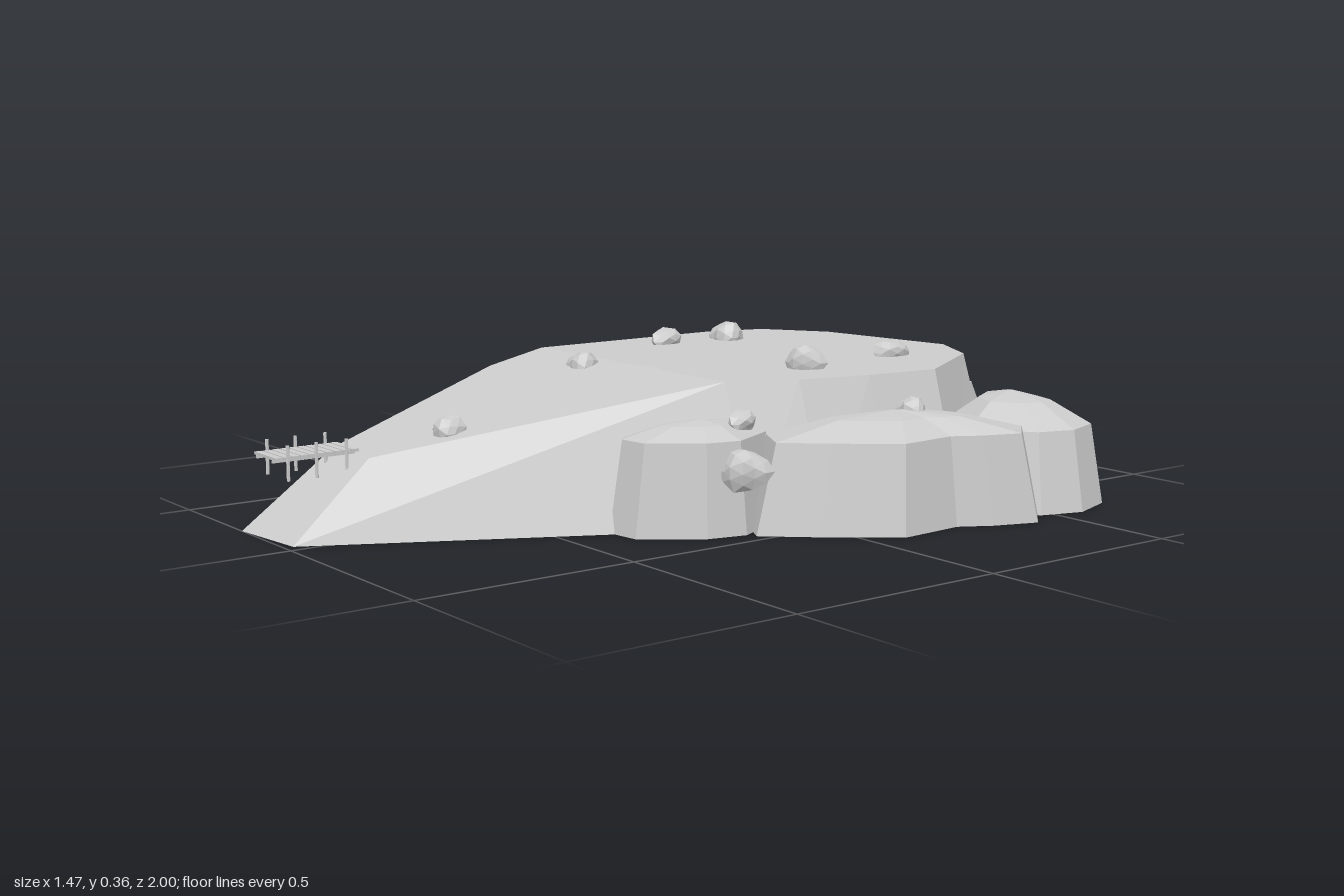
import * as THREE from 'three';

const stone = new THREE.MeshStandardMaterial({ color: 0xcccccc, flatShading: true });
stone.name = 'grey stone';

// Height of the plateau: level at the back, sloping down to the front
const ground = z => (z <= 0.12 ? 0.305 : 0.305 - (z - 0.12) * 0.206);

// Solid skin through rings of [x, y, z] points listed anticlockwise from above
function loft(rings, top) {
  const pos = [];
  const tri = (a, b, c) => pos.push(...a, ...b, ...c);
  const n = rings[0].length;
  for (let r = 0; r < rings.length - 1; r++) {
    for (let i = 0; i < n; i++) {
      const j = (i + 1) % n, lo = rings[r], hi = rings[r + 1];
      tri(lo[i], lo[j], hi[j]);
      tri(lo[i], hi[j], hi[i]);
    }
  }
  const cap = (ring, up) => {
    const flat = ring.map(p => new THREE.Vector2(p[0], -p[2]));
    for (const [a, b, c] of THREE.ShapeUtils.triangulateShape(flat, [])) {
      if (up) tri(ring[a], ring[b], ring[c]);
      else tri(ring[a], ring[c], ring[b]);
    }
  };
  cap(rings[0], false);
  top.forEach(ring => cap(ring, true));
  const g = new THREE.BufferGeometry();
  g.setAttribute('position', new THREE.Float32BufferAttribute(pos, 3));
  g.computeVertexNormals();
  return g;
}

function add(parent, name, geometry, x = 0, y = 0, z = 0) {
  const m = new THREE.Mesh(geometry, stone);
  m.name = name;
  m.position.set(x, y, z);
  parent.add(m);
  return m;
}

// Cliff boulder: steep skirt, rounded shoulder and a low peak
function boulder(parent, name, outline, h, inset, peak) {
  const flat = outline.map(p => new THREE.Vector2(p[0], -p[1]));
  const pts = THREE.ShapeUtils.area(flat) < 0 ? [...outline].reverse() : outline;
  const ring = (s, y) => pts.map(([x, z]) =>
    [peak[0] + (x - peak[0]) * s, y, peak[2] + (z - peak[2]) * s]);
  const shoulder = ring(inset * 0.5, h + (peak[1] - h) * 0.75);
  add(parent, name, loft([ring(1, 0), ring(inset, h), shoulder, ring(0.02, peak[1])], []));
}

// Small weathered rock
function pebble(parent, x, y, z, r, turn) {
  const g = new THREE.IcosahedronGeometry(r, 1);
  const p = g.attributes.position;
  for (let i = 0; i < p.count; i++) {
    const a = p.getX(i) / r, b = p.getY(i) / r, c = p.getZ(i) / r;
    const k = 1 + 0.13 * Math.sin(a * 4 + turn * 3) + 0.1 * Math.sin(c * 5 + b * 3 + turn);
    p.setXYZ(i, a * r * k, b * r * k * 0.75, c * r * k * 0.75);
  }
  g.computeVertexNormals();
  add(parent, 'smallRock', g, x, y, z).rotation.y = turn;
}

export function createModel() {
  const model = new THREE.Group();
  model.name = 'rockyIsland';

  // Main plateau: rim and matching foot outline, [x, z]
  const rim = [[-0.19, 0.8], [-0.03, 0.8], [0.31, 0.12], [0.38, -0.03], [0.42, -0.2], [0.44, -0.38],
    [0.29, -0.62], [0.14, -0.7], [-0.22, -0.64], [-0.37, -0.54], [-0.41, -0.39], [-0.405, 0.12], [-0.4, 0.27]];
  const foot = [[-0.23, 1], [-0.03, 0.98], [0.415, 0.12], [0.48, -0.03], [0.51, -0.2], [0.53, -0.38],
    [0.36, -0.66], [0.16, -0.8], [-0.26, -0.7], [-0.43, -0.59], [-0.48, -0.39], [-0.5, 0.12], [-0.44, 0.35]];
  const top = rim.map(([x, z]) => [x, ground(z), z]);
  const slope = [top[0], top[1], top[2], top[11], top[12]];
  add(model, 'plateau', loft([foot.map(([x, z]) => [x, 0, z]), top], [slope, top.slice(2, 12)]));

  // Boulders around the cliff
  const cliff = new THREE.Group();
  cliff.name = 'cliffBoulders';
  model.add(cliff);
  boulder(cliff, 'backBoulder', [[-0.25, -0.62], [-0.24, -0.76], [-0.2, -0.89], [-0.16, -0.97], [-0.03, -1],
    [0.1, -0.94], [0.21, -0.81], [0.34, -0.63], [0.2, -0.55], [-0.1, -0.55]], 0.19, 0.72, [0.01, 0.25, -0.68]);
  boulder(cliff, 'backLeftBoulder', [[-0.4, -0.6], [-0.405, -0.7], [-0.37, -0.87], [-0.23, -0.885],
    [-0.18, -0.82], [-0.15, -0.68], [-0.25, -0.58]], 0.18, 0.87, [-0.28, 0.235, -0.72]);
  boulder(cliff, 'rearLeftBoulder', [[-0.67, -0.5], [-0.64, -0.65], [-0.57, -0.7], [-0.43, -0.67],
    [-0.35, -0.58], [-0.39, -0.43], [-0.55, -0.39], [-0.65, -0.42]], 0.19, 0.86, [-0.52, 0.25, -0.55]);
  boulder(cliff, 'leftBoulder', [[-0.68, -0.41], [-0.71, -0.32], [-0.735, -0.12], [-0.61, 0.06], [-0.4, 0.03],
    [-0.34, -0.2], [-0.4, -0.4], [-0.55, -0.43]], 0.19, 0.87, [-0.5, 0.25, -0.2]);
  boulder(cliff, 'frontLeftBoulder', [[-0.6, 0], [-0.575, 0.1], [-0.48, 0.42], [-0.4, 0.52], [-0.33, 0.4],
    [-0.33, 0], [-0.45, -0.05]], 0.155, 0.84, [-0.4, 0.2, 0.15]);
  boulder(cliff, 'backRightBoulder', [[0.28, -0.62], [0.33, -0.77], [0.55, -0.72], [0.68, -0.68], [0.72, -0.57],
    [0.69, -0.47], [0.55, -0.36], [0.38, -0.45]], 0.18, 0.86, [0.48, 0.245, -0.58]);
  boulder(cliff, 'rightBoulder', [[0.66, -0.49], [0.735, -0.41], [0.7, -0.31], [0.66, -0.24], [0.67, -0.08],
    [0.56, 0.06], [0.47, 0.16], [0.36, 0.1], [0.36, -0.2], [0.5, -0.45]], 0.195, 0.87, [0.51, 0.24, -0.2]);
  boulder(cliff, 'frontRightBoulder', [[0.23, 0.36], [0.26, 0.39], [0.34, 0.38], [0.43, 0.26], [0.45, 0.17],
    [0.38, 0.03], [0.28, 0.06], [0.22, 0.2]], 0.2, 0.86, [0.33, 0.235, 0.2]);

  // Worn path climbing from the jetty, nearly flush with the ground
  const left = [[-0.17, 0.8], [-0.165, 0.67], [-0.12, 0.42], [0, 0.33], [0.02, 0.27], [0, 0.12], [-0.01, -0.06]];
  const right = [[-0.08, 0.8], [-0.06, 0.7], [0.016, 0.47], [0.08, 0.35], [0.1, 0.23], [0.085, 0.12], [0.07, -0.06]];
  const edge = [...left, ...right.reverse()];
  const pathPos = edge.flatMap(([x, z]) => [x, ground(z) + 0.002, z]);
  const pathIndex = [];
  for (let i = 0; i < left.length - 1; i++) {
    const a = i, b = i + 1, c = 12 - i, d = 13 - i;
    pathIndex.push(a, d, c, a, c, b);
  }
  const path = new THREE.BufferGeometry();
  path.setAttribute('position', new THREE.Float32BufferAttribute(pathPos, 3));
  path.setIndex(pathIndex);
  path.computeVertexNormals();
  add(model, 'path', path);

  // Plank jetty on posts
  const jetty = new THREE.Group();
  jetty.name = 'jetty';
  model.add(jetty);
  for (let i = 0; i < 10; i++) {
    add(jetty, 'plank', new THREE.BoxGeometry(0.1, 0.006, 0.016), -0.12, 0.177, 0.81 + i * 0.0195);
  }
  for (const x of [-0.168, -0.072]) {
    add(jetty, 'beam', new THREE.BoxGeometry(0.006, 0.006, 0.19), x + (x < -0.12 ? 0.012 : -0.012), 0.171, 0.9);
    for (const z of [0.83, 0.9, 0.965]) {
      add(jetty, 'post', new THREE.CylinderGeometry(0.004, 0.004, 0.075, 6), x, 0.166, z);
    }
  }

  // Scattered rocks: x, y, z, radius, turn
  const rocks = [[0.21, 0.312, -0.46, 0.042, 1.4], [-0.265, 0.312, -0.34, 0.048, 0.1],
    [-0.29, 0.312, -0.17, 0.042, 1.9], [0.25, 0.318, -0.16, 0.05, 0.7], [0.51, 0.235, -0.24, 0.038, 0.2],
    [-0.16, 0.293, 0.17, 0.043, 0], [-0.02, 0.203, 0.615, 0.046, 3], [0.365, 0.225, 0.12, 0.036, 2],
    [0.455, 0.14, 0.18, 0.058, 0.8]];
  rocks.forEach(r => pebble(model, ...r));

  return model;
}
